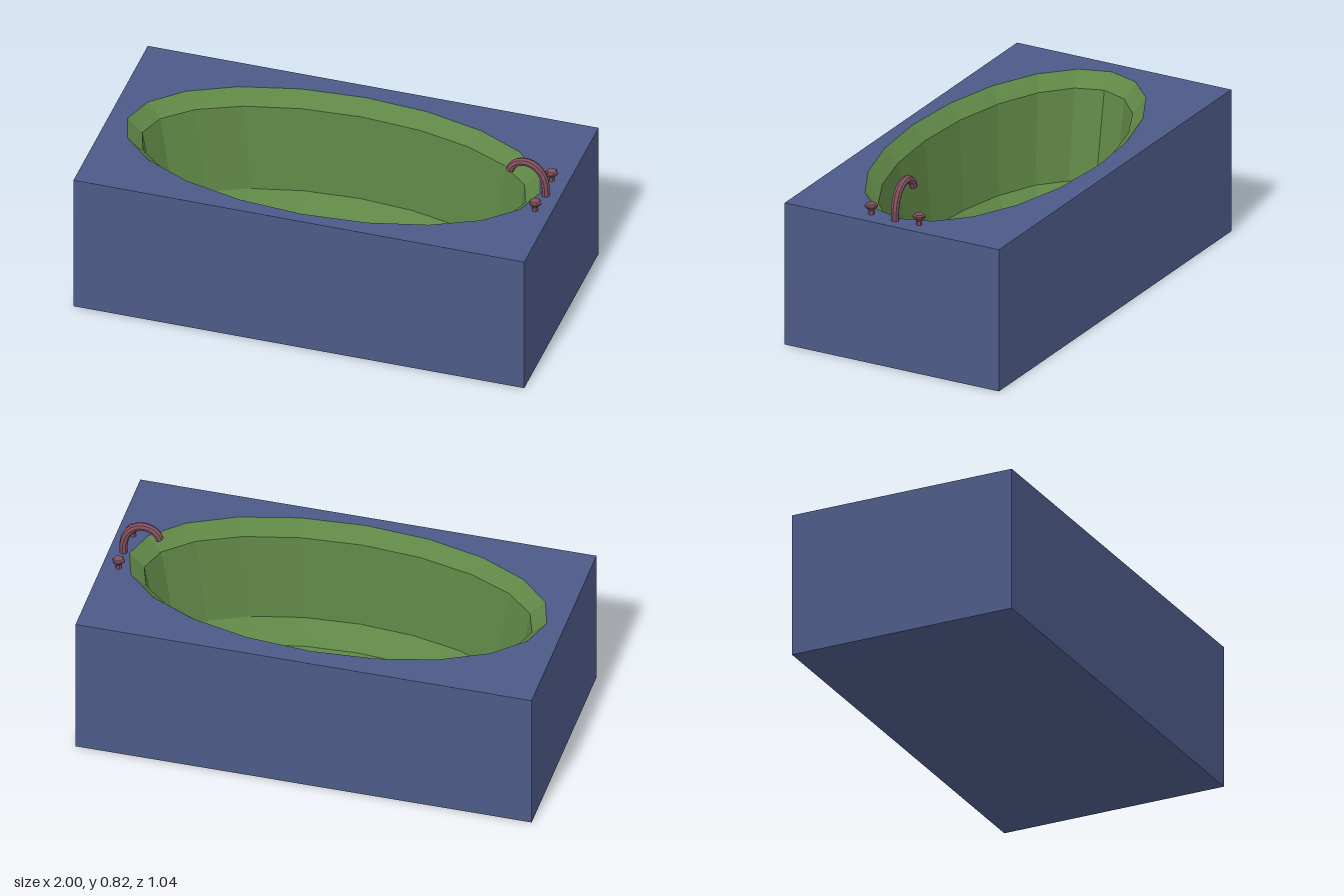
import * as THREE from 'three';

const TOP = 0.65, HALF_Z = 0.52, CX = -0.005, CZ = 0.015, SIDES = 20;

// Basin cross-sections from rim to floor: half length, half width, height
const RINGS = [
  [0.915, 0.45, TOP],
  [0.85, 0.39, 0.59],
  [0.78, 0.36, 0.19],
  [0.69, 0.277, 0.10],
];

function ringPoint([rx, rz, y], i) {
  const a = (i / SIDES) * Math.PI * 2;
  return [CX + rx * Math.cos(a), y, CZ + rz * Math.sin(a)];
}

function mesh(name, geometry, material, parent) {
  const m = new THREE.Mesh(geometry, material);
  m.name = name;
  parent.add(m);
  return m;
}

// Oval bowl: faceted bands between the rings, closed by a flat floor
function basinGeometry() {
  const pos = [];
  const floor = RINGS[RINGS.length - 1];
  for (let i = 0; i < SIDES; i++) {
    for (let r = 0; r < RINGS.length - 1; r++) {
      const o0 = ringPoint(RINGS[r], i), o1 = ringPoint(RINGS[r], i + 1);
      const n0 = ringPoint(RINGS[r + 1], i), n1 = ringPoint(RINGS[r + 1], i + 1);
      pos.push(...o0, ...n0, ...o1, ...o1, ...n0, ...n1);
    }
    pos.push(CX, floor[2], CZ, ...ringPoint(floor, i + 1), ...ringPoint(floor, i));
  }
  const g = new THREE.BufferGeometry();
  g.setAttribute('position', new THREE.Float32BufferAttribute(pos, 3));
  g.computeVertexNormals();
  return g;
}

// Box without its top face
function surroundGeometry() {
  const g = new THREE.BoxGeometry(2, TOP, HALF_Z * 2);
  const index = Array.from(g.index.array);
  index.splice(12, 6);
  g.setIndex(index);
  g.clearGroups();
  return g.translate(0, TOP / 2, 0);
}

// Flat top with the oval opening
function deckGeometry() {
  const shape = new THREE.Shape([
    new THREE.Vector2(-1, -HALF_Z), new THREE.Vector2(1, -HALF_Z),
    new THREE.Vector2(1, HALF_Z), new THREE.Vector2(-1, HALF_Z),
  ]);
  const hole = [];
  for (let i = 0; i < SIDES; i++) {
    const [x, , z] = ringPoint(RINGS[0], i);
    hole.push(new THREE.Vector2(x, -z));
  }
  shape.holes.push(new THREE.Path(hole));
  return new THREE.ShapeGeometry(shape).rotateX(-Math.PI / 2).translate(0, TOP, 0);
}

export function createModel() {
  const tub = new THREE.Group();
  tub.name = 'bathtub';
  const blue = new THREE.MeshStandardMaterial({ color: 0x4d5a88 });
  const green = new THREE.MeshStandardMaterial({ color: 0x5f8746, flatShading: true });
  const metal = new THREE.MeshStandardMaterial({ color: 0x82505f, flatShading: true });

  mesh('surround', surroundGeometry(), blue, tub);
  mesh('deck', deckGeometry(), blue, tub);
  mesh('basin', basinGeometry(), green, tub);

  // Hooked spout with a closed tip
  const faucet = new THREE.Group();
  faucet.name = 'faucet';
  tub.add(faucet);
  const path = new THREE.CatmullRomCurve3([
    [0.937, TOP], [0.936, 0.70], [0.922, 0.75], [0.89, 0.788],
    [0.85, 0.802], [0.81, 0.792], [0.787, 0.77], [0.778, 0.748],
  ].map(([x, y]) => new THREE.Vector3(x, y, 0.02)));
  mesh('spout', new THREE.TubeGeometry(path, 14, 0.018, 8), metal, faucet);
  const tip = mesh('spoutTip', new THREE.CircleGeometry(0.018, 8), metal, faucet);
  tip.position.copy(path.getPoint(1));
  tip.lookAt(path.getPoint(1).add(path.getTangent(1)));

  // Six-sided tap knobs on both sides of the spout
  const profile = [[0.013, 0], [0.013, 0.02], [0.028, 0.036], [0.028, 0.043], [0.021, 0.05], [0, 0.05]]
    .map(([r, y]) => new THREE.Vector2(r, y));
  for (const [name, z] of [['frontKnob', 0.14], ['backKnob', -0.092]]) {
    const knob = mesh(name, new THREE.LatheGeometry(profile, 6, Math.PI / 6), metal, faucet);
    knob.position.set(0.928, TOP, z);
  }
  return tub;
}
